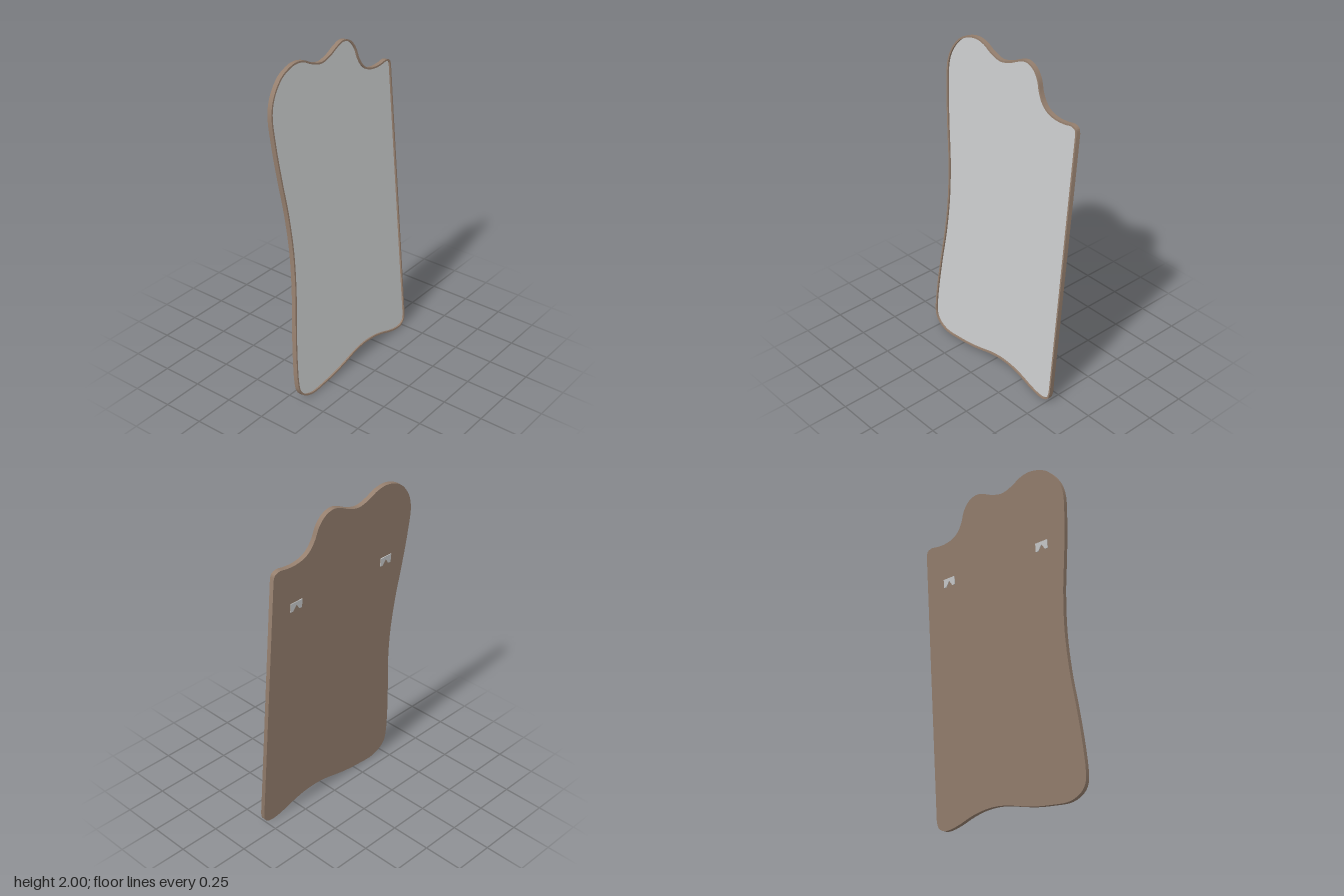
import * as THREE from 'three';
import { toCreasedNormals } from 'three/addons/utils/BufferGeometryUtils.js';

const LEAN = THREE.MathUtils.degToRad(5);
const DEPTH = 0.028;   // whole frame
const RIM = 0.01;      // rim width
const GLASS_Z = 0.018; // recessed glass surface

// Wavy outline, clockwise from the lower right to the upper right corner
const OUTLINE = [
  [0.524, 0.07], [0.511, 0.03], [0.474, 0.007], [0.42, 0.007], [0.352, 0.023], [0.273, 0.049],
  [0.193, 0.067], [0.098, 0.073], [0.008, 0.063], [-0.087, 0.04], [-0.177, 0.021], [-0.283, 0.008],
  [-0.41, 0.003], [-0.485, 0.034], [-0.517, 0.077], [-0.526, 0.135], [-0.52, 0.29], [-0.5, 0.495],
  [-0.474, 0.707], [-0.462, 0.945], [-0.474, 1.184], [-0.5, 1.396], [-0.521, 1.608], [-0.525, 1.78],
  [-0.495, 1.87], [-0.426, 1.953], [-0.352, 1.989], [-0.289, 1.999], [-0.225, 1.987], [-0.167, 1.958],
  [-0.093, 1.937], [-0.02, 1.952], [0.05, 1.984], [0.108, 2.0], [0.167, 1.981], [0.21, 1.93],
  [0.235, 1.86], [0.262, 1.814], [0.305, 1.779], [0.37, 1.763], [0.43, 1.764], [0.485, 1.771],
  [0.515, 1.758], [0.524, 1.73],
];

function outlinePoints() {
  const c = Math.cos(LEAN), drop = DEPTH * Math.sin(LEAN);
  const curve = new THREE.CatmullRomCurve3(
    OUTLINE.map(([x, y]) => new THREE.Vector3(x, (y - drop) / c, 0)), false, 'centripetal');
  return curve.getPoints((OUTLINE.length - 1) * 6).map((p) => new THREE.Vector2(p.x, p.y));
}

// Move each point inwards along its normal
function inset(points, d) {
  const n = points.length;
  return points.map((p, i) => {
    const t = points[Math.min(i + 1, n - 1)].clone().sub(points[Math.max(i - 1, 0)]).normalize();
    return new THREE.Vector2(p.x + t.y * d, p.y - t.x * d);
  });
}

function slab(shape, depth, z) {
  const g = new THREE.ExtrudeGeometry(shape, { depth, bevelEnabled: false });
  g.translate(0, 0, z);
  return toCreasedNormals(g, 0.6);
}

export function createModel() {
  const wood = new THREE.MeshStandardMaterial({ color: 0x957f6e });
  wood.name = 'brown frame';
  const silver = new THREE.MeshStandardMaterial({ color: 0xc9cbcc });
  silver.name = 'silver glass';

  const model = new THREE.Group();
  model.name = 'leaningMirror';
  const panel = new THREE.Group();
  panel.name = 'mirrorPanel';
  model.add(panel);
  const add = (name, geometry, material) => {
    const mesh = new THREE.Mesh(geometry, material);
    mesh.name = name;
    panel.add(mesh);
    return mesh;
  };

  const outer = outlinePoints();
  // The list runs down the right side first, so reverse it to be clockwise
  outer.reverse();
  const inner = inset(outer, -RIM);

  // Rim around the glass
  const ring = new THREE.Shape(outer);
  ring.holes.push(new THREE.Path(inner));
  add('frameRim', slab(ring, DEPTH, 0), wood);

  // Board behind the glass and the glass itself
  const innerShape = new THREE.Shape(inner);
  add('backBoard', slab(innerShape, GLASS_Z - 0.004, 0), wood);
  add('glass', slab(innerShape, 0.004, GLASS_Z - 0.004), silver);

  // Notched hanger plates on the back
  const plate = new THREE.Shape([
    [-0.042, -0.027], [-0.024, -0.027], [0, 0.008], [0.024, -0.027],
    [0.042, -0.027], [0.042, 0.027], [-0.042, 0.027],
  ].map(([x, y]) => new THREE.Vector2(x, y)));
  const hanger = slab(plate, 0.004, -0.004);
  for (const [name, x] of [['leftHanger', 0.35], ['rightHanger', -0.35]]) {
    add(name, hanger, silver).position.set(x, 1.505, 0);
  }

  // Lean back and centre in depth
  panel.rotation.x = -LEAN;
  panel.position.z = 0.0735;
  return model;
}
